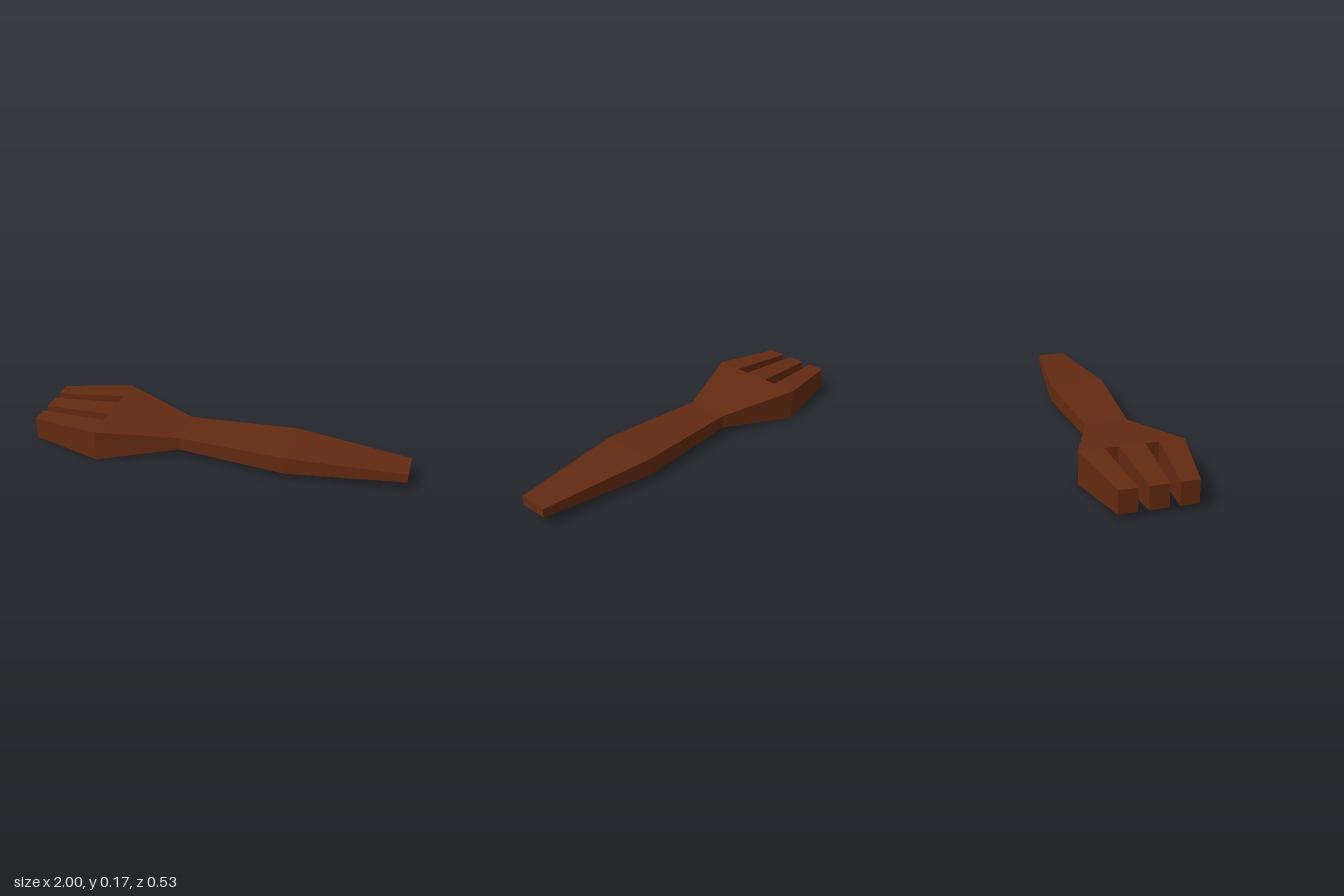
import * as THREE from 'three';

const MID_Y = 0.085;
const wood = new THREE.MeshStandardMaterial({ color: 0x632a11, flatShading: true });

// Rectangular cross-section at x, from z0 to z1, half height h
const section = (x, z0, z1, h) => [
  [x, MID_Y + h, z0], [x, MID_Y + h, z1], [x, MID_Y - h, z1], [x, MID_Y - h, z0],
];

// Joins sections (ordered by rising x); startCaps and endCaps are sections to close
function loft(name, sections, startCaps, endCaps) {
  const pos = [];
  const quad = (a, b, c, d) => pos.push(...a, ...b, ...c, ...a, ...c, ...d);
  for (let i = 0; i < sections.length - 1; i++) {
    const A = sections[i], B = sections[i + 1];
    for (let j = 0; j < 4; j++) {
      const k = (j + 1) % 4;
      quad(A[j], A[k], B[k], B[j]);
    }
  }
  startCaps.forEach((s) => quad(s[3], s[2], s[1], s[0]));
  endCaps.forEach((s) => quad(s[0], s[1], s[2], s[3]));
  const geo = new THREE.BufferGeometry();
  geo.setAttribute('position', new THREE.Float32BufferAttribute(pos, 3));
  geo.computeVertexNormals();
  const mesh = new THREE.Mesh(geo, wood);
  mesh.name = name;
  return mesh;
}

export function createModel() {
  const fork = new THREE.Group();
  fork.name = 'woodenFork';

  const tipX = -1, rootX = -0.62, tipH = 0.059, rootH = 0.085;

  // Head and handle: x, half width, half height
  const body = [
    [rootX, 0.265, rootH], [-0.205, 0.113, 0.036], [0.38, 0.151, 0.047], [1, 0.077, 0.024],
  ].map(([x, w, h]) => section(x, -w, w, h));
  // Walls closing the head between the tines
  const slots = [[-0.135, -0.066], [0.066, 0.135]].map(([a, b]) => section(rootX, a, b, rootH));
  fork.add(loft('headAndHandle', body, slots, [body[body.length - 1]]));

  // Tines: z range at the tip, then at the root
  const tines = [
    ['backTine', -0.19, -0.098, -0.265, -0.135],
    ['middleTine', -0.048, 0.048, -0.066, 0.066],
    ['frontTine', 0.098, 0.19, 0.135, 0.265],
  ];
  for (const [name, t0, t1, r0, r1] of tines) {
    const tip = section(tipX, t0, t1, tipH);
    fork.add(loft(name, [tip, section(rootX, r0, r1, rootH)], [tip], []));
  }
  return fork;
}
